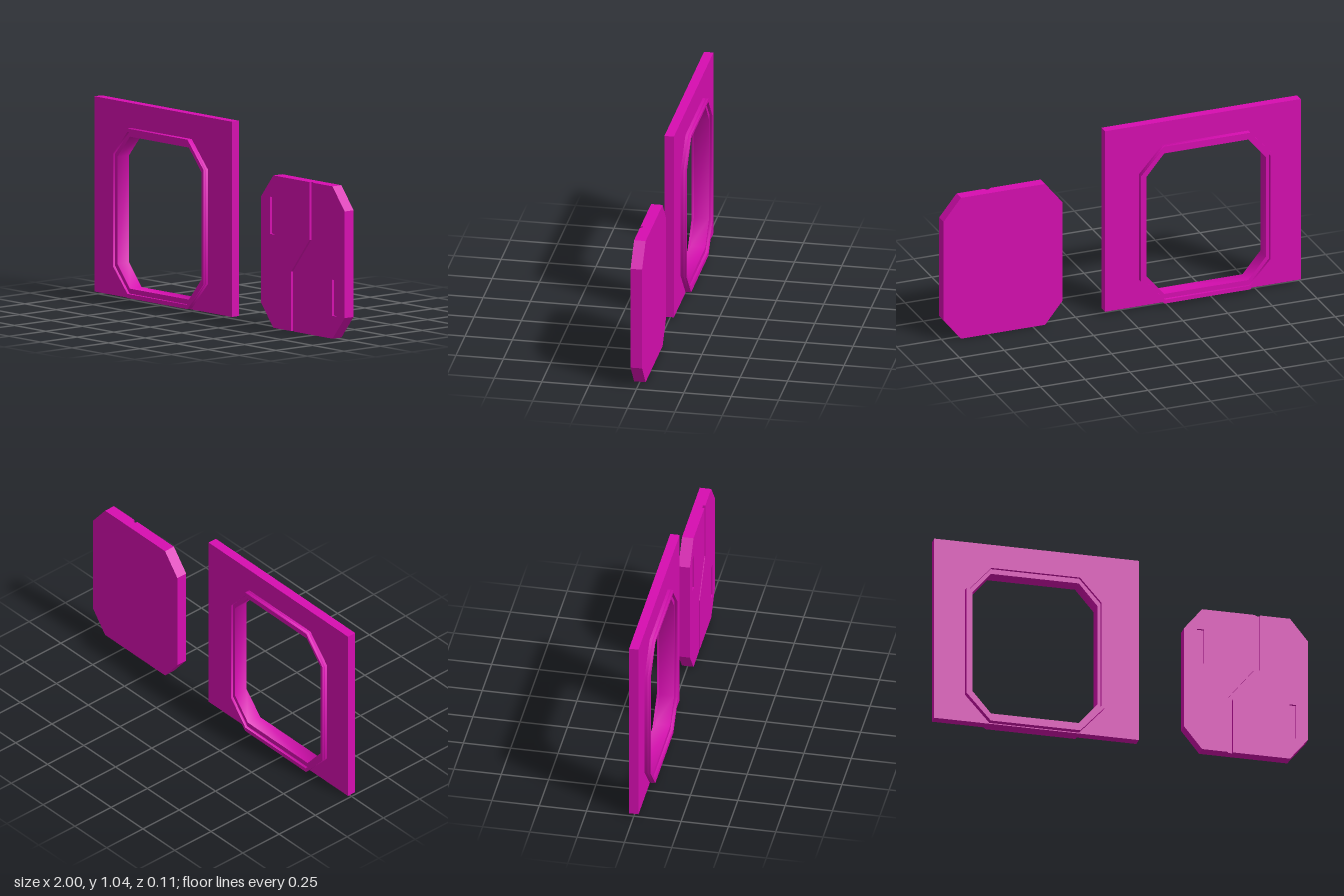
import * as THREE from 'three';
import { toCreasedNormals } from 'three/addons/utils/BufferGeometryUtils.js';

const material = new THREE.MeshStandardMaterial({ color: 0xd60db0 });

// Rectangle with cut corners: cx, cy are the cut widths along x and y
function octagon(x0, x1, y0, y1, cx, cy) {
  return [
    [x0 + cx, y0], [x1 - cx, y0], [x1, y0 + cy], [x1, y1 - cy],
    [x1 - cx, y1], [x0 + cx, y1], [x0, y1 - cy], [x0, y0 + cy],
  ];
}

const rect = (x0, x1, y0, y1) => [[x0, y0], [x1, y0], [x1, y1], [x0, y1]];
const vectors = (points) => points.map(([x, y]) => new THREE.Vector2(x, y));

// Flat plate between z0 and z1, with optional holes
function plate(name, outline, holes, z0, z1, smooth = false) {
  const shape = new THREE.Shape(vectors(outline));
  for (const hole of holes) shape.holes.push(new THREE.Path(vectors(hole)));
  let geometry = new THREE.ExtrudeGeometry(shape, { depth: z1 - z0, bevelEnabled: false });
  geometry.translate(0, 0, z0);
  if (smooth) geometry = toCreasedNormals(geometry, Math.PI / 3);
  const mesh = new THREE.Mesh(geometry, material);
  mesh.name = name;
  return mesh;
}

export function createModel() {
  const model = new THREE.Group();
  model.name = 'wallAndHatch';

  // Wall panel with a stepped octagonal frame
  const outer = octagon(-0.835, -0.095, 0.02, 0.91, 0.13, 0.145);
  const step = octagon(-0.817, -0.113, 0.042, 0.893, 0.115, 0.13);
  const opening = octagon(-0.8, -0.13, 0.068, 0.866, 0.1, 0.118);
  const lip = 0.04, front = 0.055;
  const wall = new THREE.Group();
  wall.name = 'wall';
  wall.add(
    plate('wallPanel', rect(-1, 0.095, 0.015, 1.04), [step], -0.025, 0.025),
    plate('frameCore', outer, [opening], -lip, lip, true),
    plate('frameFrontLip', outer, [step], lip, front, true),
    plate('frameBackLip', outer, [step], -front, -lip, true),
  );

  // Hatch: a solid back and two front panels parted by a bent groove
  const hatch = new THREE.Group();
  hatch.name = 'hatch';
  const back = -0.03, floor = 0.018, face = 0.031;
  const leftSlot = rect(0.405, 0.442, 0.49, 0.685);
  const rightSlot = rect(0.9, 0.936, 0.12, 0.31);
  hatch.add(
    plate('hatchBack', octagon(0.335, 1, 0, 0.8, 0.097, 0.12), [], back, floor),
    plate('hatchPanelA', [
      [0.432, 0], [0.573, 0], [0.573, 0.312], [0.719, 0.495], [0.719, 0.8],
      [0.432, 0.8], [0.335, 0.68], [0.335, 0.12],
    ], [leftSlot], floor, face),
    plate('hatchPanelB', [
      [0.597, 0], [0.903, 0], [1, 0.12], [1, 0.68], [0.903, 0.8],
      [0.743, 0.8], [0.743, 0.487], [0.597, 0.304],
    ], [rightSlot], floor, face),
  );

  model.add(wall, hatch);
  return model;
}
